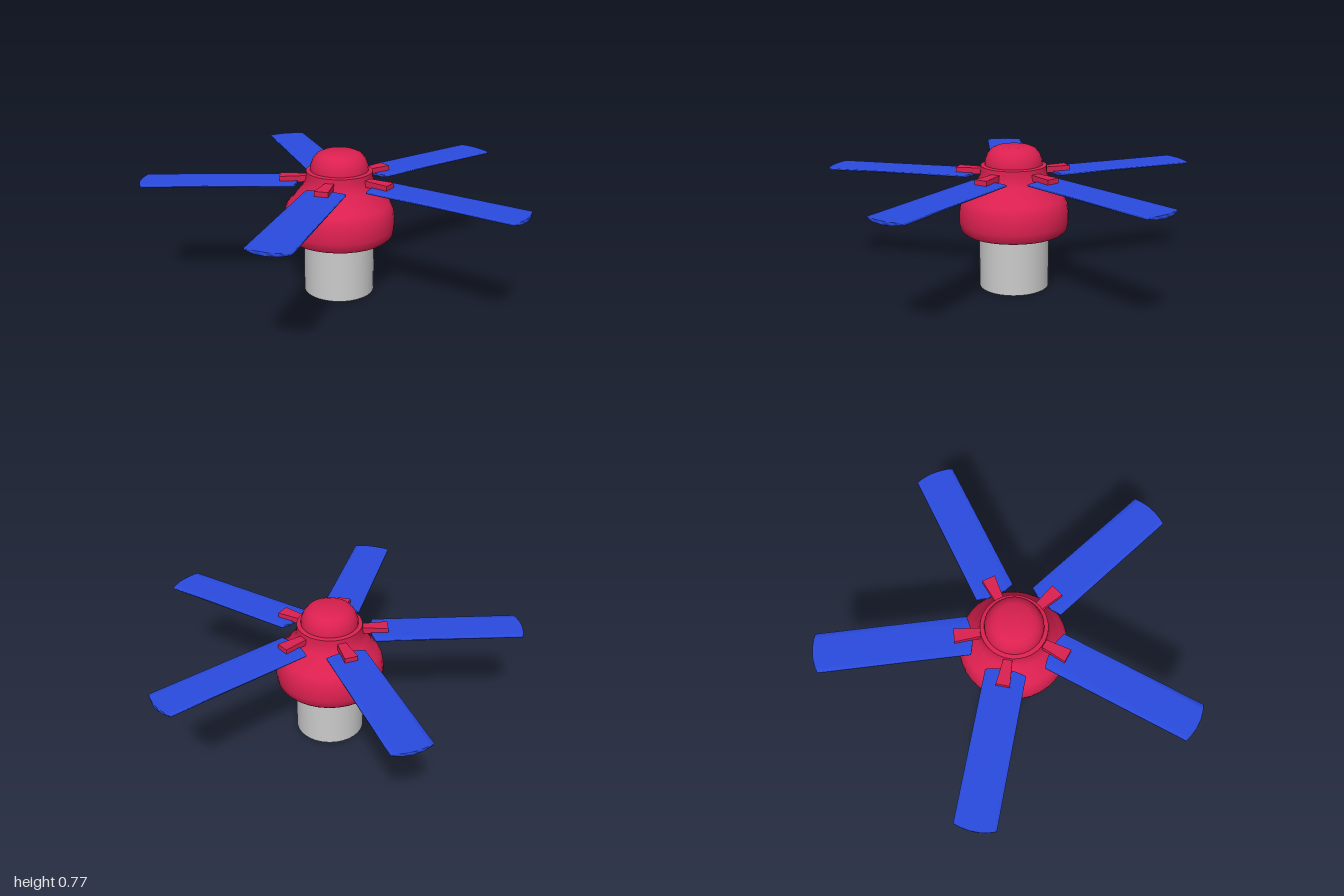
import * as THREE from 'three';
import { mergeVertices, toCreasedNormals } from 'three/addons/utils/BufferGeometryUtils.js';

const RED = new THREE.MeshStandardMaterial({ color: 0xdc2050 });
const BLUE = new THREE.MeshStandardMaterial({ color: 0x2a4be0 });
const GREY = new THREE.MeshStandardMaterial({ color: 0xcccccc });

function part(name, geometry, material) {
  const mesh = new THREE.Mesh(geometry, material);
  mesh.name = name;
  return mesh;
}

// Flat outline (pointing along shape +y) turned into a slab pointing along -z
function slab(shape, bottom, thickness, curveSegments) {
  const g = new THREE.ExtrudeGeometry(shape, { depth: thickness, bevelEnabled: false, curveSegments });
  g.rotateX(-Math.PI / 2);
  g.translate(0, bottom, 0);
  return g;
}

// Thin blade with bowed ends and softly shared normals
function bladeGeometry() {
  const w = 0.105, bottom = 0.61;
  const s = new THREE.Shape();
  s.moveTo(-w, 0.235);
  s.quadraticCurveTo(0, 0.2, w, 0.235);
  s.lineTo(w, 1.015);
  s.quadraticCurveTo(0, 1.055, -w, 1.015);
  s.closePath();
  let g = slab(s, bottom, 0.009, 8);
  g.deleteAttribute('normal');
  g.deleteAttribute('uv');
  g = mergeVertices(g);
  const p = g.attributes.position;
  for (let i = 0; i < p.count; i++) {
    // the underside sags slightly along its middle
    if (p.getY(i) < bottom + 0.001) p.setY(i, bottom - 0.008 * (1 - (p.getX(i) / w) ** 2));
  }
  g.computeVertexNormals();
  return g;
}

// Short bracket that widens outwards from the hub
function bracketGeometry() {
  const s = new THREE.Shape();
  s.moveTo(-0.02, 0.14);
  s.lineTo(0.02, 0.14);
  s.lineTo(0.036, 0.31);
  s.lineTo(-0.036, 0.31);
  s.closePath();
  return slab(s, 0.612, 0.033, 1);
}

export function createModel() {
  const model = new THREE.Group();
  model.name = 'ceilingFan';
  const fan = new THREE.Group();
  fan.name = 'fan';
  fan.position.z = 0.075;
  model.add(fan);

  // Grey mounting cylinder
  const mount = new THREE.CylinderGeometry(0.189, 0.189, 0.33, 32);
  mount.translate(0, 0.165, 0);
  fan.add(part('mount', mount, GREY));

  // Red motor housing with collar and cap
  const profile = [
    [0, 0.312], [0.275, 0.312], [0.287, 0.325], [0.294, 0.365], [0.294, 0.41], [0.287, 0.46],
    [0.27, 0.495], [0.247, 0.515], [0.225, 0.548], [0.195, 0.585], [0.182, 0.61], [0.176, 0.64],
    [0.175, 0.668], [0.153, 0.672], [0.152, 0.695], [0.138, 0.73], [0.116, 0.756], [0.085, 0.769], [0, 0.77],
  ].map(([x, y]) => new THREE.Vector2(x, y));
  fan.add(part('motorHousing', toCreasedNormals(new THREE.LatheGeometry(profile, 32), 0.7), RED));

  // Five blades, each with its bracket
  const blade = bladeGeometry();
  const bracket = bracketGeometry();
  for (let i = 0; i < 5; i++) {
    const arm = new THREE.Group();
    arm.name = 'bladeArm' + (i + 1);
    arm.rotation.y = (i * Math.PI * 2) / 5;
    arm.add(part('blade', blade, BLUE), part('bracket', bracket, RED));
    fan.add(arm);
  }
  return model;
}
